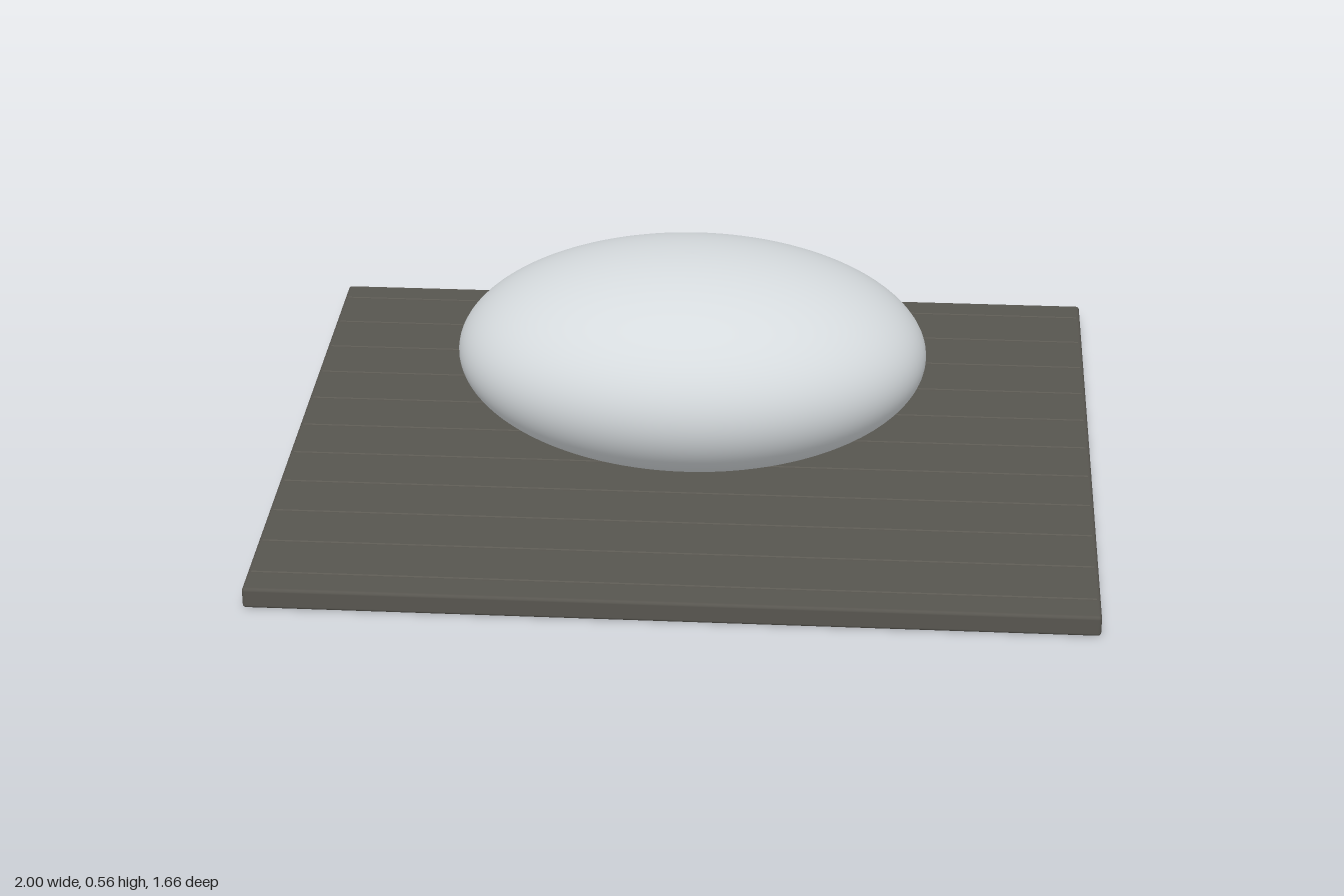
import * as THREE from 'three';
import { RoundedBoxGeometry } from 'three/addons/geometries/RoundedBoxGeometry.js';

const CENTER_Y = 0.295;
const RADII = { x: 0.583, y: 0.265, z: 0.408 };
const FLAT_Y = 0.085;

function createPebble(material) {
  // Ellipsoid cut flat underneath: a unit profile, lathed and then scaled
  const cutAngle = Math.acos((FLAT_Y - CENTER_Y) / RADII.y);
  const profile = [];
  const steps = 48;
  for (let i = steps; i >= 0; i--) {
    const a = (cutAngle * i) / steps;
    profile.push(new THREE.Vector2(i === 0 ? 0 : Math.sin(a), Math.cos(a)));
  }
  const shell = new THREE.Mesh(new THREE.LatheGeometry(profile, 96), material);
  shell.name = 'pebbleShell';

  // Flat underside
  const base = new THREE.Mesh(new THREE.CircleGeometry(Math.sin(cutAngle), 96), material);
  base.name = 'pebbleBase';
  base.rotation.x = Math.PI / 2;
  base.position.y = Math.cos(cutAngle);

  const pebble = new THREE.Group();
  pebble.name = 'pebble';
  pebble.add(shell, base);
  pebble.scale.set(RADII.x, RADII.y, RADII.z);
  pebble.position.y = CENTER_Y;
  return pebble;
}

function createGround(plateMaterial, ribMaterial) {
  const ground = new THREE.Group();
  ground.name = 'ground';

  // Thin slab with softened edges
  const slab = new THREE.Mesh(new RoundedBoxGeometry(2, 0.052, 1.66, 3, 0.008), plateMaterial);
  slab.name = 'slab';
  slab.position.y = 0.026;
  ground.add(slab);

  // Fine parallel ribs across the slab
  const ribGeometry = new THREE.BoxGeometry(1.98, 0.004, 0.006);
  for (let i = -5; i <= 5; i++) {
    const rib = new THREE.Mesh(ribGeometry, ribMaterial);
    rib.name = 'rib';
    rib.position.set(0, 0.052, i * 0.15);
    ground.add(rib);
  }
  return ground;
}

export function createModel() {
  const model = new THREE.Group();
  model.name = 'pebbleOnSlab';
  model.add(
    createGround(
      new THREE.MeshStandardMaterial({ color: 0x57554f }),
      new THREE.MeshStandardMaterial({ color: 0x605e57 })
    ),
    createPebble(new THREE.MeshStandardMaterial({ color: 0xd6dbde }))
  );
  return model;
}
